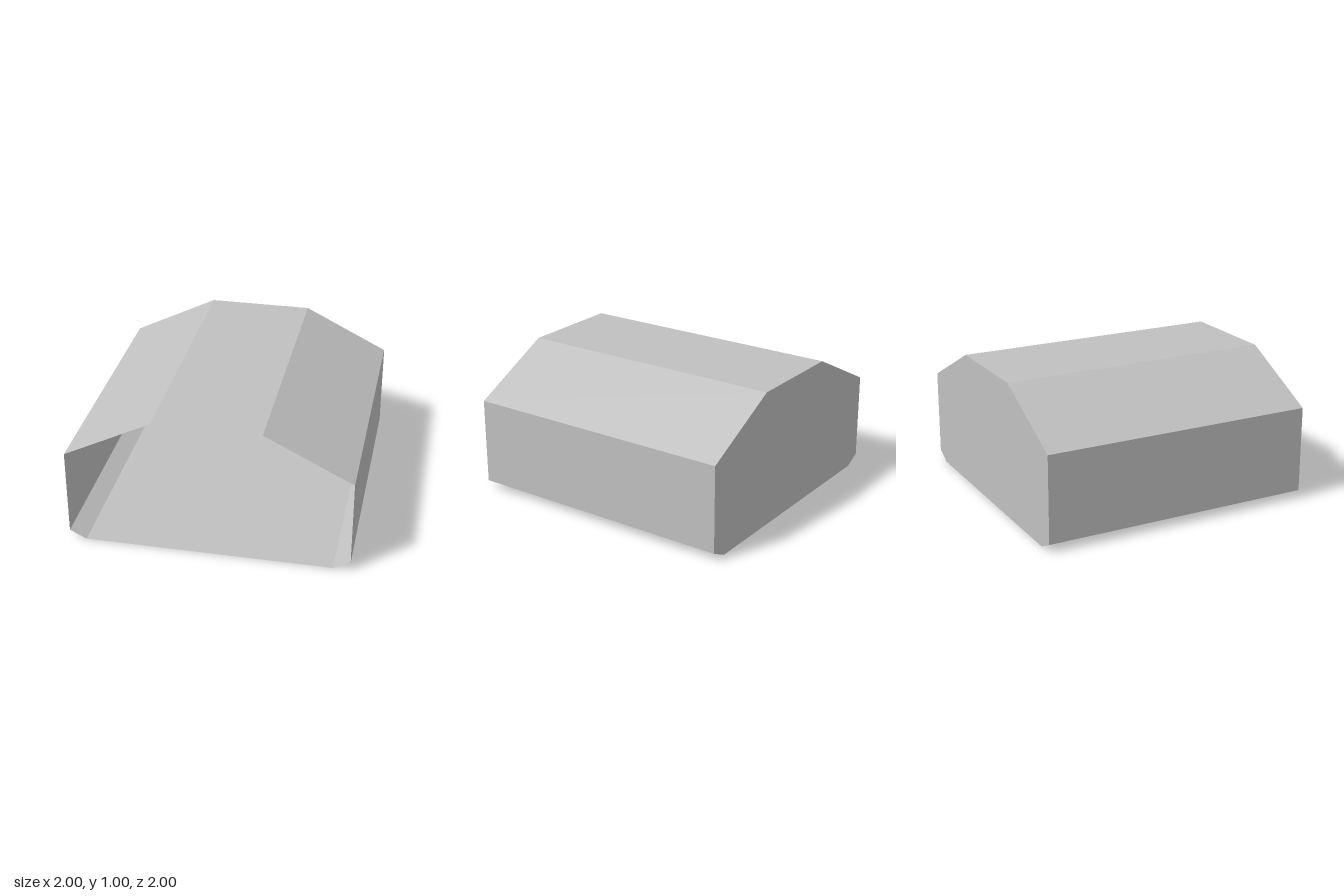
import * as THREE from 'three';

export function createModel() {
  const group = new THREE.Group();
  const grey = new THREE.MeshStandardMaterial({ color: 0xc0c0c0, side: THREE.DoubleSide });
  grey.name = 'grey';

  // Cross-section, counter-clockwise from the floor's left corner
  const half = [[0.88, 0], [1, 0.06], [1, 0.69], [0.38, 1]];
  const profile = [...half, ...half.map(([x, y]) => [-x, y]).reverse()];
  const names = ['lowerBevelLeft', 'wallLeft', 'roofSlopeLeft', 'roofTop',
    'roofSlopeRight', 'wallRight', 'lowerBevelRight', 'floor'];

  // Thin panels running from front to back
  profile.forEach(([ax, ay], i) => {
    const [bx, by] = profile[(i + 1) % profile.length];
    const panel = new THREE.BufferGeometry();
    panel.setAttribute('position', new THREE.Float32BufferAttribute(
      [ax, ay, 1, ax, ay, -1, bx, by, -1, bx, by, 1], 3));
    panel.setIndex([0, 1, 2, 0, 2, 3]);
    panel.computeVertexNormals();
    const mesh = new THREE.Mesh(panel, grey);
    mesh.name = names[i];
    group.add(mesh);
  });

  // Closed back; the front stays open
  const shape = new THREE.Shape(profile.map(([x, y]) => new THREE.Vector2(x, y)));
  const back = new THREE.Mesh(new THREE.ShapeGeometry(shape).rotateY(Math.PI), grey);
  back.position.z = -1;
  back.name = 'backWall';
  group.add(back);

  return group;
}
